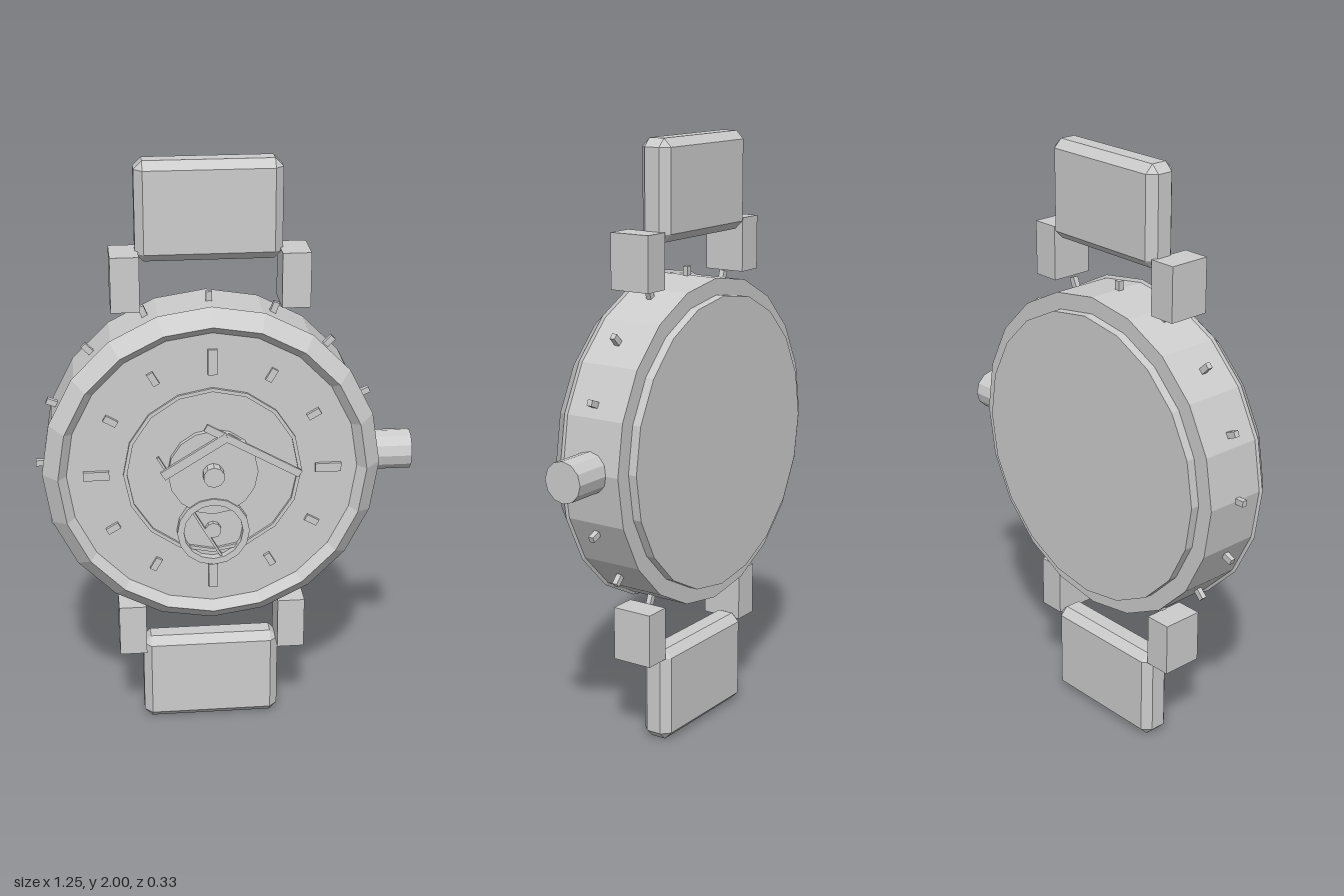
import * as THREE from 'three';
import { ConvexGeometry } from 'three/addons/geometries/ConvexGeometry.js';

export function createModel() {
  const model = new THREE.Group();
  const steel = new THREE.MeshStandardMaterial({ color: 0xcccccc, flatShading: true });
  steel.name = 'steel';
  const CX = -0.05, CY = 1.0; // centre of the case

  const add = (name, geometry, x = 0, y = 0, z = 0, angle = 0) => {
    const mesh = new THREE.Mesh(geometry, steel);
    mesh.name = name;
    mesh.position.set(x, y, z);
    mesh.rotation.z = angle;
    model.add(mesh);
    return mesh;
  };
  // Turned part with its axis along z; profile points are [radius, z]
  const turned = (name, points, sides, x = CX, y = CY) =>
    add(name, new THREE.LatheGeometry(points.map(p => new THREE.Vector2(...p)), sides).rotateX(Math.PI / 2), x, y);
  const disc = (name, r, z0, z1, sides, x, y) =>
    turned(name, [[0, z0], [r, z0], [r, z1], [0, z1]], sides, x, y);
  const ring = (name, inner, outer, z0, z1, sides, x, y) =>
    turned(name, [[inner, z0], [outer, z0], [outer, z1], [inner, z1], [inner, z0]], sides, x, y);
  // Flat bar between two points on the dial
  const bar = (name, x0, y0, x1, y1, width, z0, z1) =>
    add(name, new THREE.BoxGeometry(Math.hypot(x1 - x0, y1 - y0), width, z1 - z0),
      (x0 + x1) / 2, (y0 + y1) / 2, (z0 + z1) / 2, Math.atan2(y1 - y0, x1 - x0));

  // Case, back plate, bezel and dial
  disc('case', 0.545, -0.133, 0.08, 20);
  disc('backPlate', 0.49, -0.163, -0.13, 20);
  turned('bezel', [[0.54, 0.075], [0.555, 0.082], [0.504, 0.138], [0.472, 0.1]], 20);
  disc('dial', 0.49, 0.07, 0.105, 20);

  // Crown
  add('crown', new THREE.CylinderGeometry(0.067, 0.067, 0.14, 12).rotateZ(Math.PI / 2), 0.553, CY, -0.02);

  // Studs around the case
  for (let i = 0; i < 16; i++) {
    const a = i * Math.PI / 8;
    add('caseStud', new THREE.BoxGeometry(0.065, 0.02, 0.018),
      CX + 0.542 * Math.cos(a), CY + 0.542 * Math.sin(a), -0.018, a);
  }

  // Hour markers, longer at the quarters
  for (let i = 0; i < 12; i++) {
    const a = i * Math.PI / 6, major = i % 3 === 0;
    add('hourMarker', new THREE.BoxGeometry(major ? 0.085 : 0.045, major ? 0.03 : 0.022, 0.015),
      CX + 0.38 * Math.cos(a), CY + 0.38 * Math.sin(a), 0.109, a);
  }

  // Dial rings, centre disc and small dial
  ring('chapterRing', 0.28, 0.292, 0.1, 0.115, 16);
  disc('centreDisc', 0.148, 0.1, 0.125, 16);
  disc('hub', 0.035, 0.12, 0.163, 10);
  ring('smallDialRing', 0.098, 0.12, 0.1, 0.132, 16, CX, 0.79);
  disc('smallDialHub', 0.027, 0.1, 0.122, 10, CX, 0.79);

  // Hands
  bar('hourHand', -0.215, 1.0, -0.005, 1.13, 0.03, 0.127, 0.139);
  bar('minuteHand', -0.075, 1.165, 0.235, 0.99, 0.025, 0.127, 0.138);
  bar('secondHand', -0.23, 1.06, -0.02, 0.69, 0.008, 0.112, 0.122);

  // Lugs
  for (const x of [-0.32, 0.224]) for (const y of [0.387, 1.623])
    add('lug', new THREE.BoxGeometry(0.092, 0.18, 0.143), x, y, -0.018);

  // Chamfered strap pieces
  const half = [0.235, 0.161, 0.054], chamfer = 0.027, corners = [];
  for (const sx of [-1, 1]) for (const sy of [-1, 1]) for (const sz of [-1, 1])
    for (let k = 0; k < 3; k++) {
      const [x, y, z] = half.map((h, i) => (i === k ? h : h - chamfer));
      corners.push(new THREE.Vector3(sx * x, sy * y, sz * z));
    }
  const strap = new ConvexGeometry(corners);
  add('upperStrap', strap, CX + 0.002, 1.839, -0.046);
  add('lowerStrap', strap, CX + 0.002, 0.161, -0.046);

  return model;
}
